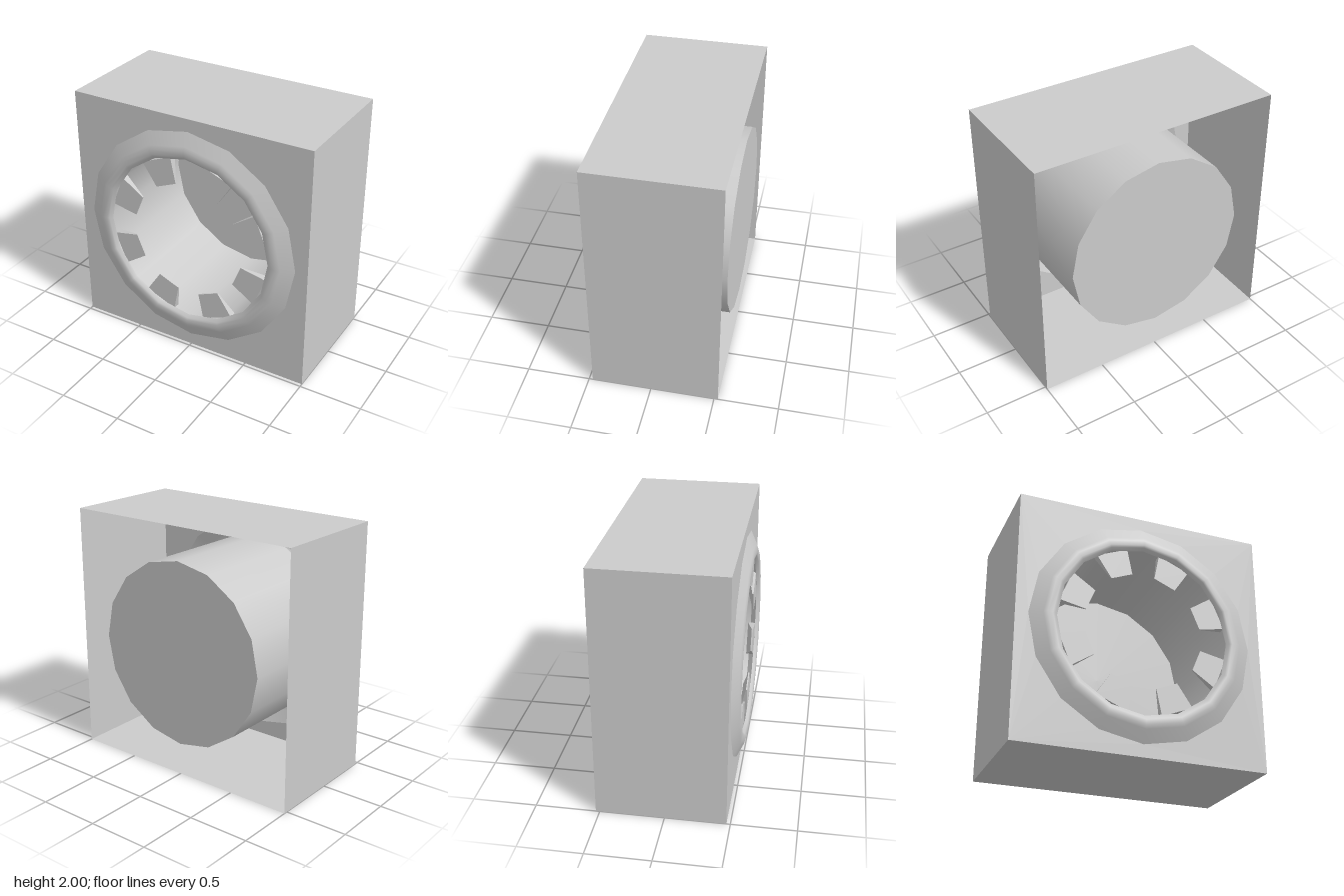
import * as THREE from 'three';

const SIDES = 16;
const STEP = (Math.PI * 2) / SIDES;
const FRONT = 0.47, BACK = -0.53;

function material(options = {}) {
  return new THREE.MeshStandardMaterial({ color: 0xcccccc, side: THREE.DoubleSide, ...options });
}

function addMesh(parent, name, geometry, mat) {
  const mesh = new THREE.Mesh(geometry, mat);
  mesh.name = name;
  parent.add(mesh);
  return mesh;
}

// Lathe around the z axis from [radius, z] pairs
function latheZ(profile) {
  const points = profile.map(([r, z]) => new THREE.Vector2(r, z));
  return new THREE.LatheGeometry(points, SIDES).rotateX(Math.PI / 2);
}

// Wedge-shaped tooth: a box bent to one facet, thin at its inner end
function toothGeometry() {
  const geometry = new THREE.BoxGeometry(1, 1, 1);
  const p = geometry.attributes.position;
  for (let i = 0; i < p.count; i++) {
    const angle = (0.5 - p.getX(i)) * STEP;
    const outer = p.getY(i) > 0;
    const r = outer ? 0.69 : 0.475;
    const z = p.getZ(i) > 0 ? 0.5 : outer ? 0.44 : 0.49;
    p.setXYZ(i, r * Math.cos(angle), r * Math.sin(angle), z);
  }
  geometry.computeVertexNormals();
  return geometry;
}

export function createModel() {
  const group = new THREE.Group();
  const smooth = material();
  const flat = material({ flatShading: true });

  // Open-backed housing: four thin walls
  const housing = new THREE.Group();
  housing.name = 'housing';
  housing.position.y = 1;
  group.add(housing);
  ['leftWall', 'topWall', 'rightWall', 'bottomWall'].forEach((name, i) => {
    const wall = new THREE.PlaneGeometry(FRONT - BACK, 2)
      .rotateY(Math.PI / 2)
      .translate(1, 0, (FRONT + BACK) / 2)
      .rotateZ((i * Math.PI) / 2);
    addMesh(housing, name, wall, flat);
  });

  // Front plate with a sixteen-sided opening
  const plate = new THREE.Shape([[-1, -1], [1, -1], [1, 1], [-1, 1]].map(([x, y]) => new THREE.Vector2(x, y)));
  const opening = Array.from({ length: SIDES }, (_, i) =>
    new THREE.Vector2(0.9 * Math.cos(i * STEP), 0.9 * Math.sin(i * STEP)));
  plate.holes.push(new THREE.Path(opening));
  addMesh(housing, 'frontPlate', new THREE.ShapeGeometry(plate).translate(0, 0, FRONT), flat);

  // Rounded rim around the opening
  addMesh(housing, 'rim', latheZ([
    [0.9, FRONT], [0.8, 0.518], [0.77, 0.53], [0.73, 0.53], [0.71, 0.522], [0.69, 0.5],
  ]), smooth);

  // Deep round cup behind the rim, closed at the back
  addMesh(housing, 'rimUnderside', latheZ([[0.69, 0.5], [0.74, 0.46]]), smooth);
  addMesh(housing, 'cupWall', latheZ([[0.74, 0.46], [0.74, BACK]]), smooth);
  addMesh(housing, 'cupFloor', new THREE.CircleGeometry(0.74, SIDES).translate(0, 0, BACK), flat);

  // Teeth on every other facet
  const teeth = new THREE.Group();
  teeth.name = 'teeth';
  housing.add(teeth);
  const tooth = toothGeometry();
  for (let i = 0; i < SIDES / 2; i++) {
    addMesh(teeth, 'tooth', tooth, flat).rotation.z = i * 2 * STEP;
  }

  // Angles above run from the mid of a wedge's low edge, so shift half a facet
  teeth.rotation.z = STEP / 2;
  return group;
}
